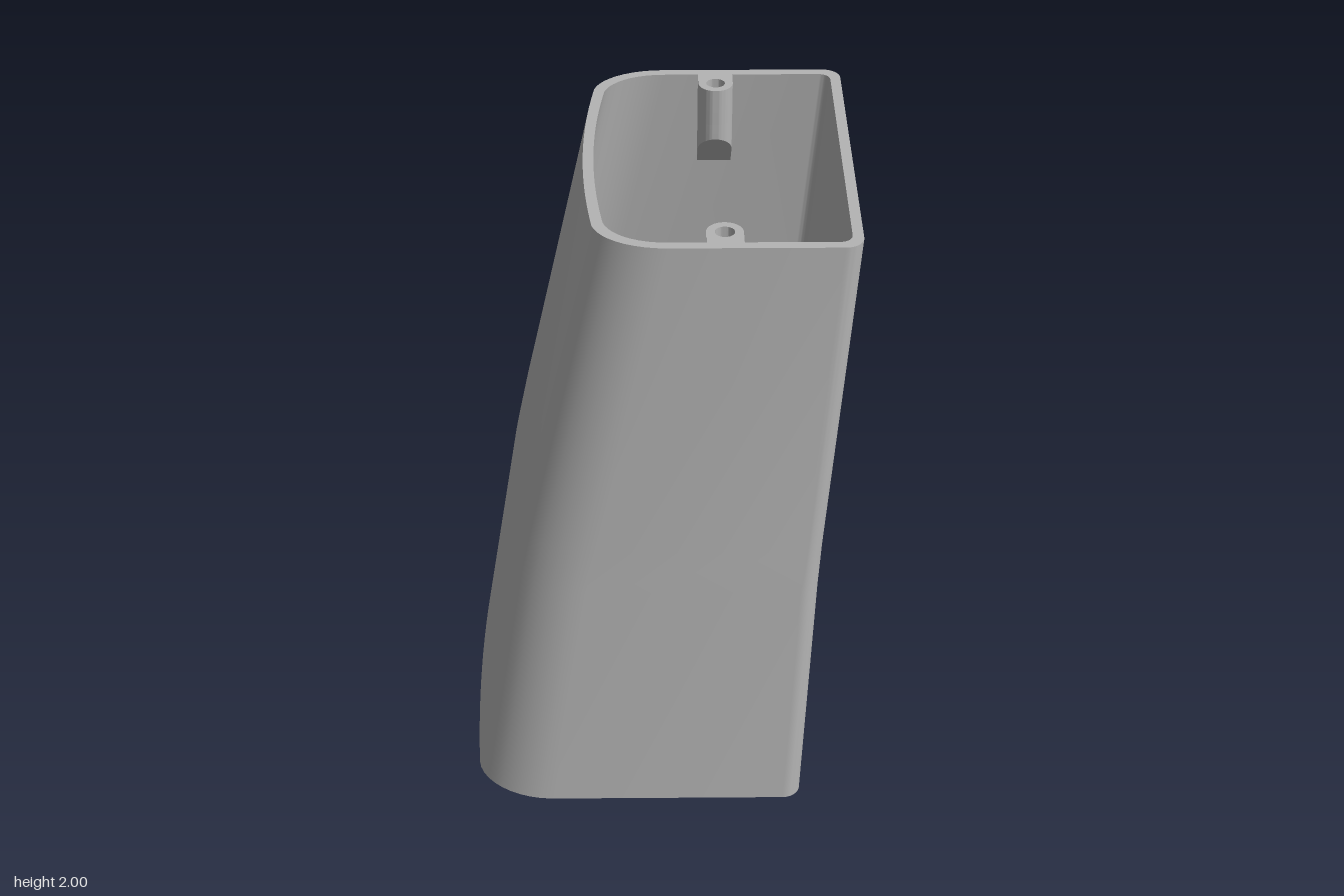
import * as THREE from 'three';
import { toCreasedNormals } from 'three/addons/utils/BufferGeometryUtils.js';

const WALL = 0.032;

// Heights with left edge, right edge, half depth, bow of the left side,
// and the size of the big left corner in x and z
const SECTIONS = [
  { y: 0, xl: -0.592, xr: 0.462, z: 0.643, bow: 0.015, rx: 0.26, rz: 0.18 },
  { y: 0.8, xl: -0.468, xr: 0.497, z: 0.591, bow: 0.02, rx: 0.25, rz: 0.16 },
  { y: 0.95, xl: -0.438, xr: 0.506, z: 0.584, bow: 0.02, rx: 0.25, rz: 0.16 },
  { y: 2, xl: -0.215, xr: 0.588, z: 0.549, bow: 0.03, rx: 0.25, rz: 0.13 },
];

// Closed outline of one section, inset by t, mirrored about z = 0
function ring(s, t) {
  const xl = s.xl + t, xr = s.xr - t, Z = s.z - t;
  const r = 0.055 - t * 0.6, rx = s.rx - t, rz = s.rz - t * 0.5, k = 0.5;
  const zc = Z - rz, xc = xl + s.bow;
  const half = new THREE.Path();
  half.moveTo(xl, 0);
  half.quadraticCurveTo(xl, zc / 2, xc, zc);
  half.bezierCurveTo(xc + s.bow * 0.5, zc + rz * k, xl + rx * (1 - k), Z, xl + rx, Z);
  half.lineTo(xr - r, Z);
  half.bezierCurveTo(xr - r * 0.45, Z, xr, Z - r * 0.45, xr, Z - r);
  half.lineTo(xr, 0);
  const pts = half.getPoints(10);
  const back = pts.slice(1, -1).reverse().map((p) => new THREE.Vector2(p.x, -p.y));
  return [...pts, ...back].map((p) => [p.x, s.y, p.y]);
}

// Hollow tube: up the outside, over the rim, down the inside, back under
function shellGeometry() {
  const rings = [
    ...SECTIONS.map((s) => ring(s, 0)),
    ...SECTIONS.slice().reverse().map((s) => ring(s, WALL)),
  ];
  const n = rings[0].length, m = rings.length, index = [];
  for (let j = 0; j < m; j++) {
    for (let i = 0; i < n; i++) {
      const i2 = (i + 1) % n, j2 = (j + 1) % m;
      const a = j * n + i, b = j * n + i2, c = j2 * n + i2, d = j2 * n + i;
      index.push(a, b, c, a, c, d);
    }
  }
  const g = new THREE.BufferGeometry();
  g.setAttribute('position', new THREE.Float32BufferAttribute(rings.flat(2), 3));
  g.setIndex(index);
  return toCreasedNormals(g, 0.6);
}

// Rounded tab reaching in from the wall; y of the shape points to the middle
function tabShape(withHole) {
  const s = new THREE.Shape();
  s.moveTo(-0.054, -0.075);
  s.lineTo(0.054, -0.075);
  s.lineTo(0.054, 0);
  s.absarc(0, 0, 0.054, 0, Math.PI, false);
  s.lineTo(-0.054, -0.075);
  if (withHole) s.holes.push(new THREE.Path().absarc(0, 0, 0.029, 0, Math.PI * 2, true));
  return s;
}

// Extrudes a tab upward; slope makes the underside run down to the wall
function tabGeometry(withHole, bottom, top, slope) {
  const g = new THREE.ExtrudeGeometry(tabShape(withHole), {
    depth: top - bottom, bevelEnabled: false, curveSegments: 20,
  });
  g.rotateX(-Math.PI / 2);
  g.translate(0, bottom, 0);
  const p = g.attributes.position;
  for (let i = 0; i < p.count; i++) {
    if (p.getY(i) < bottom + 1e-4) p.setY(i, bottom - slope * (p.getZ(i) + 0.054));
  }
  return toCreasedNormals(g, 0.6);
}

export function createModel() {
  const model = new THREE.Group();
  model.name = 'taperedHousing';
  const grey = new THREE.MeshStandardMaterial({ color: 0xb4b4b4 });
  grey.name = 'plain grey';

  const add = (parent, name, geometry) => {
    const mesh = new THREE.Mesh(geometry, grey);
    mesh.name = name;
    parent.add(mesh);
  };

  add(model, 'shell', shellGeometry());

  // Screw bosses with blind holes on the front and back walls
  const holed = tabGeometry(true, 1.88, 2, 0);
  const solid = tabGeometry(false, 1.83, 1.88, 1.15);
  for (const [name, z, turn] of [['frontScrewBoss', 0.458, 0], ['backScrewBoss', -0.458, Math.PI]]) {
    const boss = new THREE.Group();
    boss.name = name;
    add(boss, 'holedTop', holed);
    add(boss, 'slopedBase', solid);
    boss.position.set(0.195, 0, z);
    boss.rotation.y = turn;
    model.add(boss);
  }
  return model;
}
